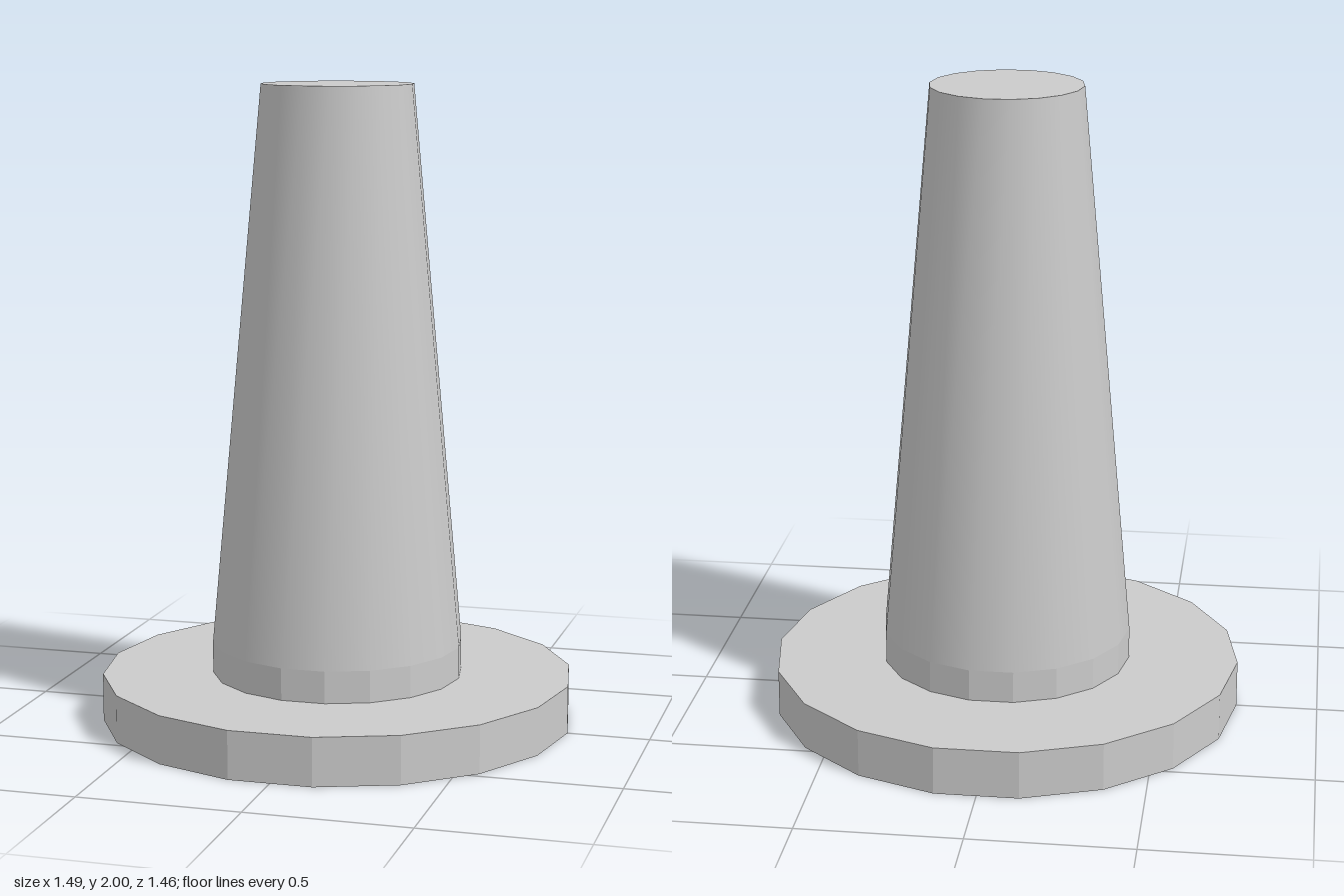
import * as THREE from 'three';

const SIDES = 18;
const BASE_R = 0.743, BASE_H = 0.15;
const FOOT_R = 0.395, COLLAR_TOP = 0.25;
const TOP_R = 0.236, HEIGHT = 2;

// Upright 18-sided section from y0 to y1, with a corner on the x axis
function section(name, rTop, rBottom, y0, y1, flatShading, open) {
  const geometry = new THREE.CylinderGeometry(rTop, rBottom, y1 - y0, SIDES, 1, open);
  geometry.rotateY(Math.PI / SIDES);
  geometry.translate(0, (y0 + y1) / 2, 0);
  const mesh = new THREE.Mesh(geometry, new THREE.MeshStandardMaterial({ color: 0xcccccc, flatShading }));
  mesh.name = name;
  return mesh;
}

export function createModel() {
  const group = new THREE.Group();
  group.name = 'taperedPost';

  // Faceted foot plate and the short straight collar on it
  group.add(section('basePlate', BASE_R, BASE_R, 0, BASE_H, true, false));
  group.add(section('collar', FOOT_R, FOOT_R, BASE_H, COLLAR_TOP, true, true));

  // Smooth tapered body, closed by a flat top
  group.add(section('taperedBody', TOP_R, FOOT_R, COLLAR_TOP, HEIGHT, false, true));
  const cap = new THREE.Mesh(
    new THREE.CircleGeometry(TOP_R, SIDES).rotateX(-Math.PI / 2).translate(0, HEIGHT, 0),
    new THREE.MeshStandardMaterial({ color: 0xcccccc })
  );
  cap.name = 'topCap';
  group.add(cap);

  return group;
}
